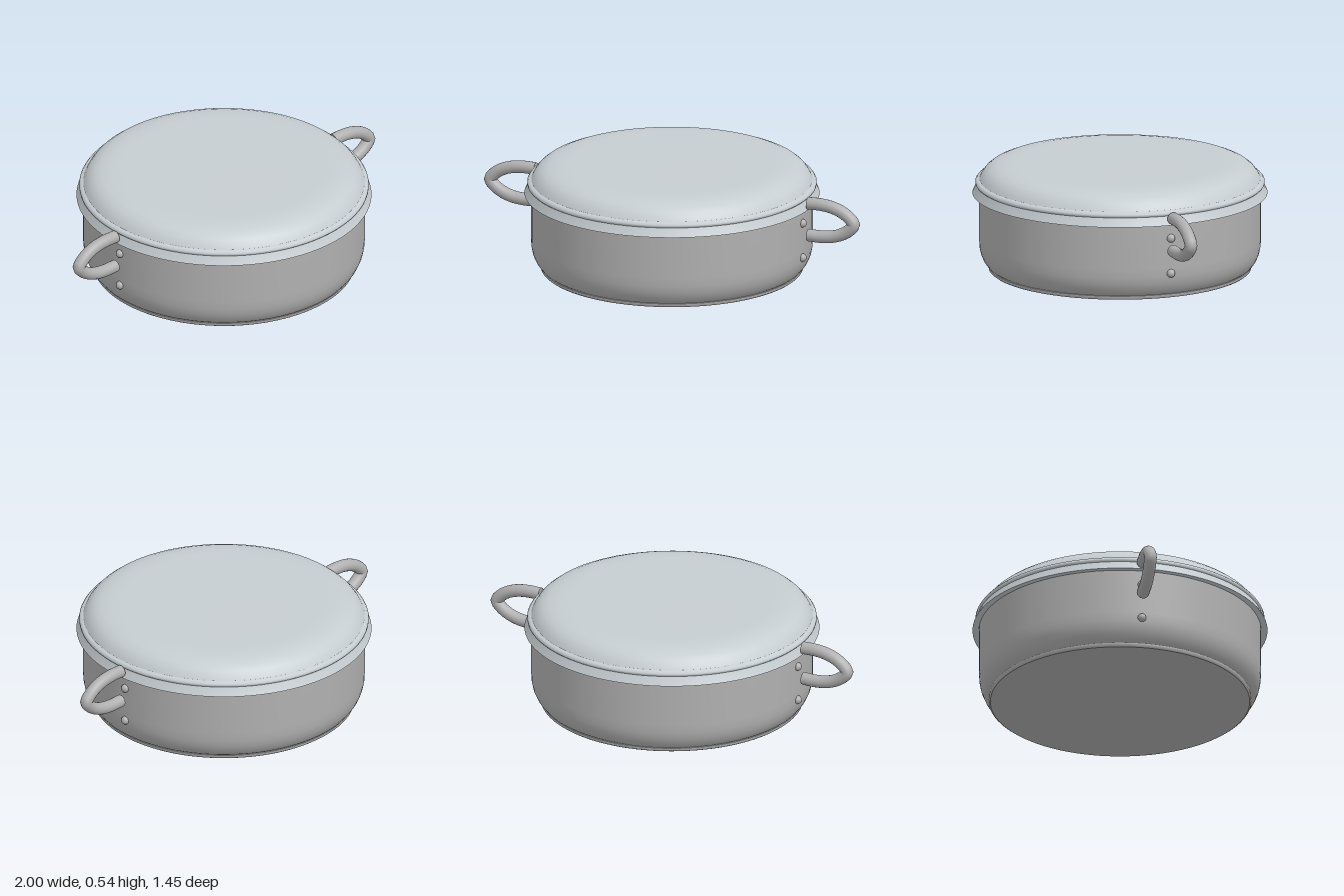
import * as THREE from 'three';

const SEG = 96;

// Smooth only along runs of the profile: each run is its own surface of revolution.
function lathe(name, material, ...runs) {
  const group = new THREE.Group();
  group.name = name;
  runs.forEach((run, i) => {
    const points = run.map(([r, y]) => new THREE.Vector2(r, y));
    const mesh = new THREE.Mesh(new THREE.LatheGeometry(points, SEG), material);
    mesh.name = `${name}Surface${i + 1}`;
    group.add(mesh);
  });
  return group;
}

export function createModel() {
  const model = new THREE.Group();
  model.name = 'casserolePot';

  const steel = new THREE.MeshStandardMaterial({ color: 0xb0b0b0, side: THREE.DoubleSide });
  steel.name = 'grey steel';
  const lidSteel = new THREE.MeshStandardMaterial({ color: 0xc6cdd1, side: THREE.DoubleSide });
  lidSteel.name = 'pale steel';

  // Pot body: rounded foot curving into straight walls
  model.add(lathe('potBody', steel,
    [[0.64, 0.025], [0.655, 0.036], [0.672, 0.06], [0.685, 0.09], [0.692, 0.125], [0.694, 0.17], [0.694, 0.42]]));

  // Base disc
  model.add(lathe('base', steel,
    [[0, 0.006], [0.638, 0.006]],
    [[0.638, 0.006], [0.646, 0.012], [0.646, 0.025]],
    [[0.646, 0.025], [0.64, 0.027]]));

  // Lid: sloping flange, rolled bead and domed top
  model.add(lathe('lid', lidSteel,
    [[0.694, 0.395], [0.726, 0.393]],
    [[0.726, 0.393], [0.715, 0.415], [0.706, 0.437]],
    [[0.706, 0.437], [0.712, 0.443], [0.712, 0.452], [0.705, 0.461], [0.692, 0.464]],
    [[0.692, 0.464], [0.682, 0.482], [0.666, 0.503], [0.642, 0.522], [0.608, 0.536],
      [0.56, 0.544], [0.5, 0.547], [0.35, 0.546], [0, 0.543]]));

  // Loop handles and rivets, mirrored left and right
  const radius = 0.031;
  const upper = [[0.725, 0.427], [0.79, 0.428], [0.85, 0.421], [0.905, 0.402], [0.945, 0.375]];
  const lower = upper.map(([x, y]) => [x, 0.69 - y]).reverse();
  const path = new THREE.CatmullRomCurve3(
    [...upper, [0.968, 0.345], ...lower].map(([x, y]) => new THREE.Vector3(x, y, 0)));
  const tube = new THREE.TubeGeometry(path, 40, radius, 16, false);
  const cap = new THREE.CircleGeometry(radius, 16);
  const rivet = new THREE.SphereGeometry(0.021, 20, 14);

  for (const side of [1, -1]) {
    const handle = new THREE.Group();
    handle.name = side > 0 ? 'leftHandle' : 'rightHandle';
    const loop = new THREE.Mesh(tube, steel);
    loop.name = 'handleLoop';
    handle.add(loop);
    for (const y of [0.427, 0.263]) {
      const end = new THREE.Mesh(cap, steel);
      end.name = 'handleEnd';
      end.rotation.y = -Math.PI / 2;
      end.position.set(0.725, y, 0);
      handle.add(end);
    }
    for (const y of [0.32, 0.142]) {
      const stud = new THREE.Mesh(rivet, steel);
      stud.name = 'rivet';
      stud.position.set(0.694, y, 0);
      handle.add(stud);
    }
    if (side < 0) handle.rotation.y = Math.PI;
    model.add(handle);
  }

  return model;
}
